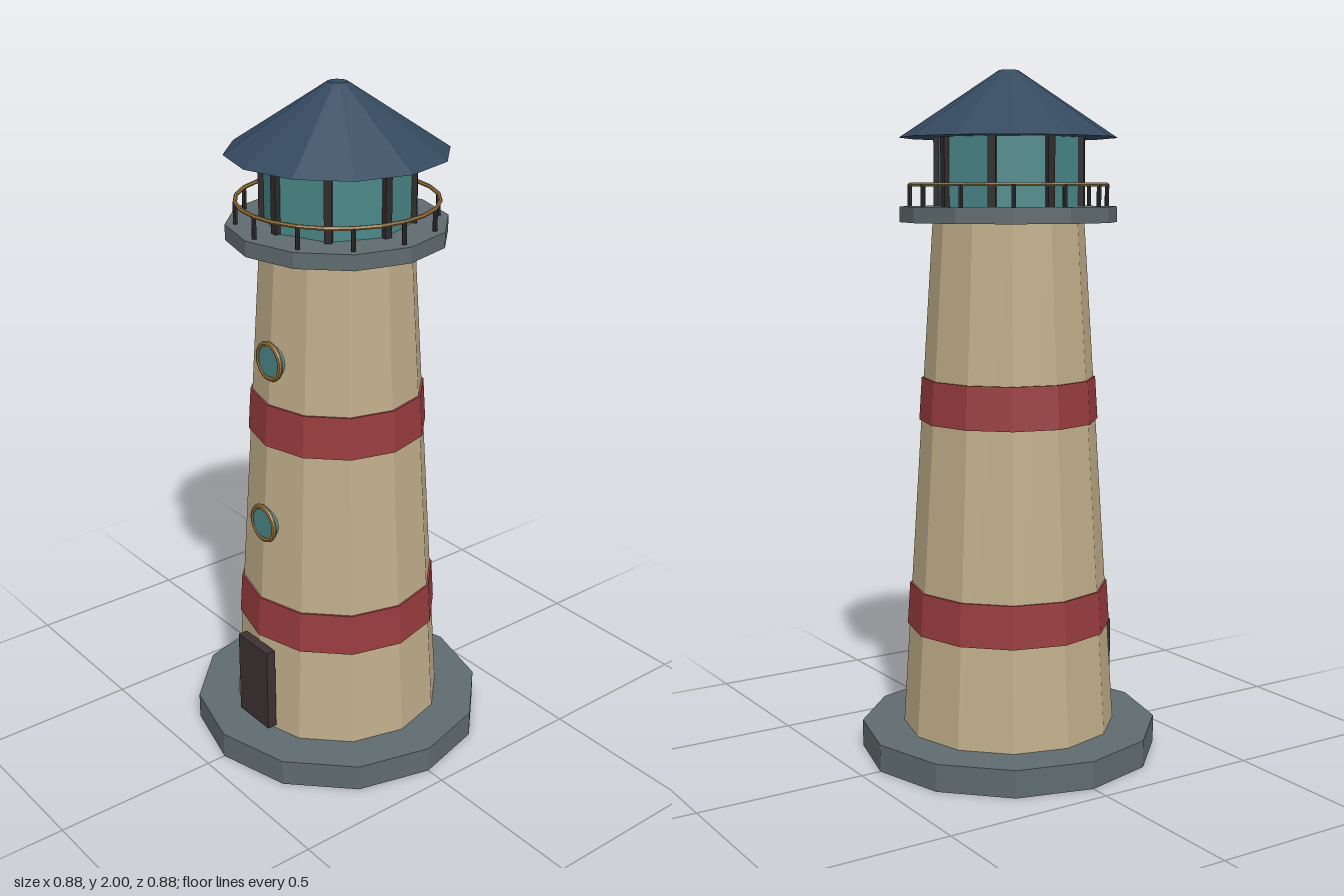
import * as THREE from 'three';

const mat = (name, color) => {
  const m = new THREE.MeshStandardMaterial({ color, flatShading: true });
  m.name = name;
  return m;
};

export function createModel() {
  const stone = mat('slate stone', 0x5f6b6e);
  const plaster = mat('sand plaster', 0xc0ad8a);
  const red = mat('red paint', 0x983c3e);
  const navy = mat('navy roof', 0x34495f);
  const glass = mat('teal glass', 0x4a8788);
  const dark = mat('dark iron', 0x2e2a2b);
  const wood = mat('dark wood', 0x3d3032);
  const brass = mat('brass', 0x94713a);

  const model = new THREE.Group();
  model.name = 'lighthouse';

  const add = (name, geometry, material, x = 0, y = 0, z = 0, parent = model) => {
    const mesh = new THREE.Mesh(geometry, material);
    mesh.name = name;
    mesh.position.set(x, y, z);
    parent.add(mesh);
    return mesh;
  };
  // Faceted drum between two heights
  const drum = (name, y0, y1, r0, r1, material, sides = 12) =>
    add(name, new THREE.CylinderGeometry(r1, r0, y1 - y0, sides), material, 0, (y0 + y1) / 2, 0);
  // Tower radius at a height
  const towerRadius = (y) => 0.315 - (0.095 * (y - 0.08)) / 1.49;

  // Base, tower and painted bands
  drum('base', 0, 0.08, 0.44, 0.44, stone);
  drum('tower', 0.08, 1.57, towerRadius(0.08), towerRadius(1.57), plaster);
  for (const [y0, y1] of [[0.38, 0.505], [0.995, 1.12]]) {
    drum('band', y0, y1, towerRadius(y0) + 0.006, towerRadius(y1) + 0.006, red);
  }

  // Door
  add('door', new THREE.BoxGeometry(0.144, 0.265, 0.03), wood, 0, 0.223, 0.31);

  // Round windows
  for (const y of [0.75, 1.25]) {
    const porthole = new THREE.Group();
    porthole.name = 'window';
    porthole.position.set(0, y, towerRadius(y));
    model.add(porthole);
    add('windowRing', new THREE.TorusGeometry(0.051, 0.008, 8, 24), brass, 0, 0, 0.003, porthole);
    const pane = add('windowPane', new THREE.CylinderGeometry(0.051, 0.051, 0.03, 24), glass, 0, 0, -0.008, porthole);
    pane.rotation.x = Math.PI / 2;
  }

  // Gallery deck and lantern room
  drum('galleryDeck', 1.57, 1.615, 0.315, 0.315, stone);
  drum('lanternGlass', 1.615, 1.81, 0.21, 0.21, glass, 8);
  for (let i = 0; i < 8; i++) {
    const a = (i * Math.PI) / 4;
    const bar = add('lanternBar', new THREE.BoxGeometry(0.022, 0.195, 0.022), dark,
      Math.sin(a) * 0.21, 1.7125, Math.cos(a) * 0.21);
    bar.rotation.y = a;
  }

  // Railing
  for (let i = 0; i < 12; i++) {
    const a = (i * Math.PI) / 6;
    add('railPost', new THREE.CylinderGeometry(0.007, 0.007, 0.065, 6), dark,
      Math.sin(a) * 0.285, 1.645, Math.cos(a) * 0.285);
  }
  const rail = add('handrail', new THREE.TorusGeometry(0.285, 0.006, 6, 24), brass, 0, 1.677, 0);
  rail.rotation.x = Math.PI / 2;

  // Roof
  drum('roof', 1.81, 2, 0.315, 0.028, navy);

  return model;
}
